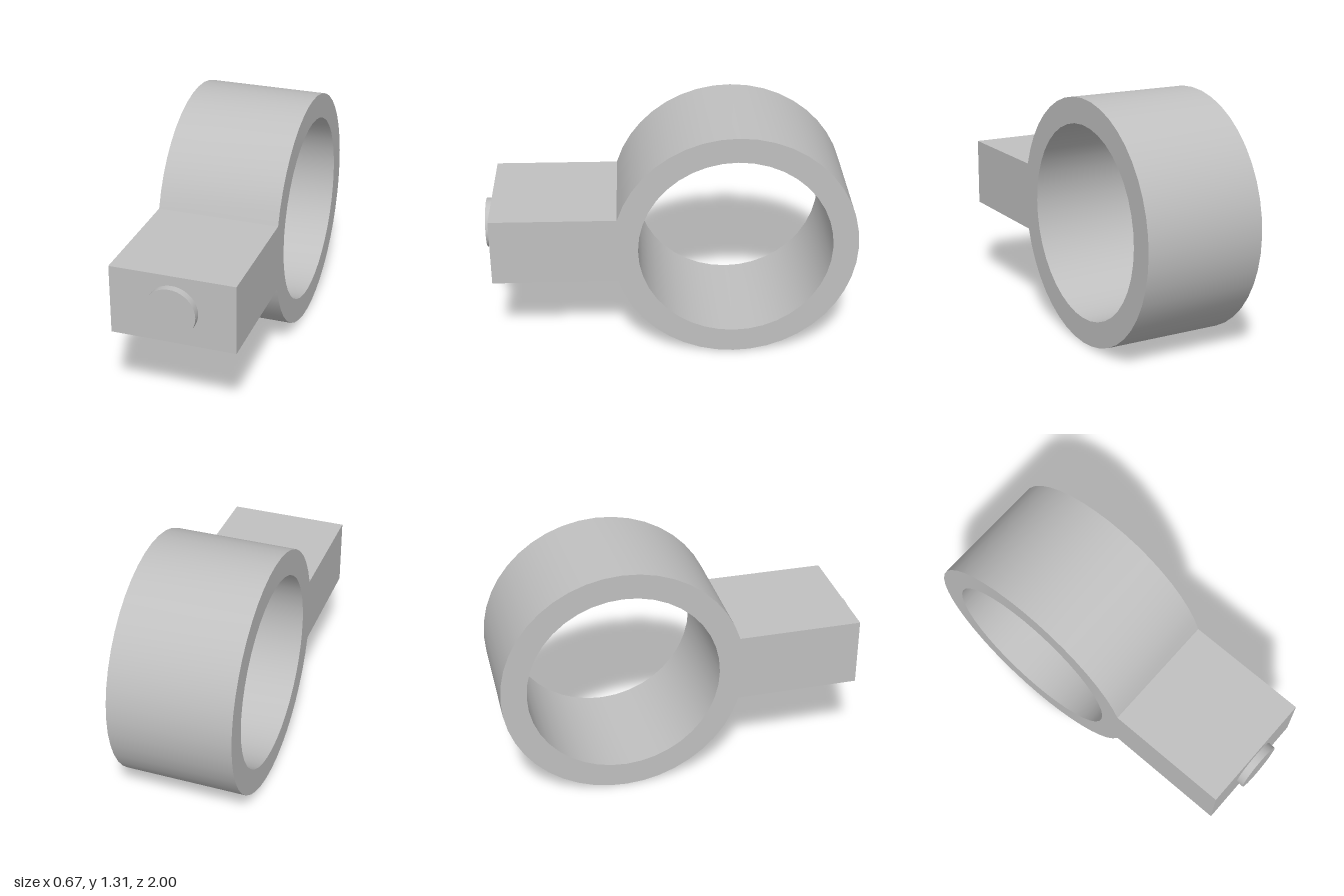
import * as THREE from 'three';
import { toCreasedNormals } from 'three/addons/utils/BufferGeometryUtils.js';

const WIDTH = 0.665;
const CENTRE_Z = -0.343, CENTRE_Y = 0.657;
const OUTER = 0.657, INNER = 0.52;
const ARM_HALF = 0.188, ARM_END = 0.96;

export function createModel() {
  const group = new THREE.Group();
  const grey = new THREE.MeshStandardMaterial({ color: 0xc0c0c0 });
  grey.name = 'grey';

  // Side profile (z across, y up): ring and arm in one outline, with a round bore
  const join = Math.asin(ARM_HALF / OUTER);
  const profile = new THREE.Shape();
  profile.moveTo(ARM_END, CENTRE_Y - ARM_HALF);
  profile.lineTo(ARM_END, CENTRE_Y + ARM_HALF);
  profile.absarc(CENTRE_Z, CENTRE_Y, OUTER, join, Math.PI * 2 - join, false);
  profile.closePath();
  const bore = new THREE.Path();
  bore.absarc(CENTRE_Z, CENTRE_Y, INNER, 0, Math.PI * 2, true);
  profile.holes.push(bore);

  let body = new THREE.ExtrudeGeometry(profile, { depth: WIDTH, bevelEnabled: false, curveSegments: 20 });
  body.translate(0, 0, -WIDTH / 2);
  body.rotateY(-Math.PI / 2);
  body = toCreasedNormals(body, 0.5);
  const ring = new THREE.Mesh(body, grey);
  ring.name = 'ringWithArm';
  group.add(ring);

  // Round boss on the end of the arm
  const depth = 1 - ARM_END;
  const bossShape = new THREE.CylinderGeometry(0.135, 0.135, depth, 40);
  bossShape.rotateX(Math.PI / 2);
  const boss = new THREE.Mesh(bossShape, grey);
  boss.name = 'endBoss';
  boss.position.set(0, CENTRE_Y, ARM_END + depth / 2);
  group.add(boss);

  return group;
}
